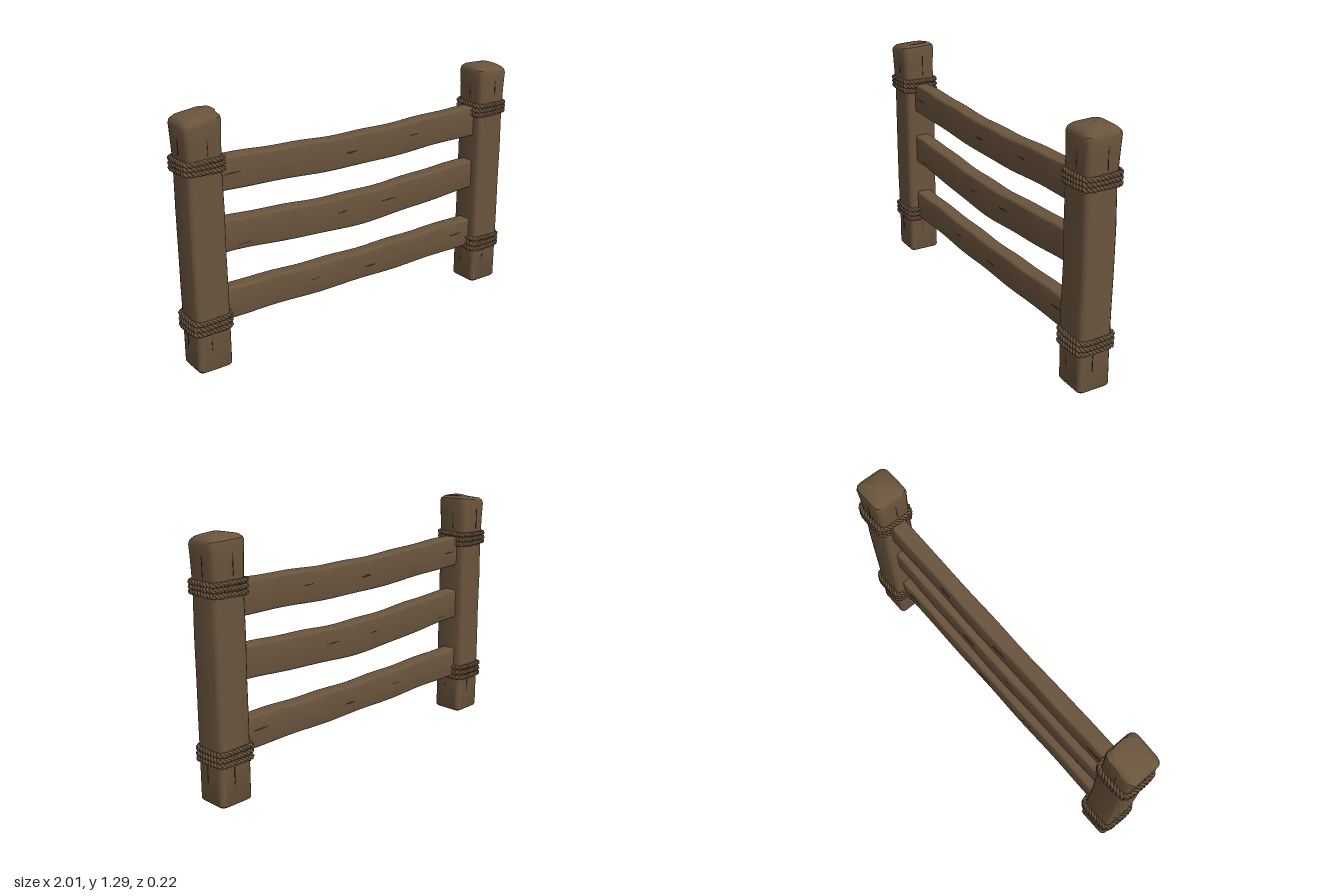
import * as THREE from 'three';
import { toCreasedNormals } from 'three/addons/utils/BufferGeometryUtils.js';

const wood = new THREE.MeshStandardMaterial({ color: 0x6a543d });
wood.name = 'brown wood';
const crackDark = new THREE.MeshStandardMaterial({ color: 0x35291e });
crackDark.name = 'dark crack';

// Rounded rectangle outline as [u, v] pairs, counter-clockwise
function roundRect(hu, hv, r, steps = 3) {
  const pts = [];
  [[1, 1], [-1, 1], [-1, -1], [1, -1]].forEach(([su, sv], q) => {
    for (let k = 0; k <= steps; k++) {
      const a = (q + k / steps) * Math.PI / 2;
      pts.push([su * (hu - r) + r * Math.cos(a), sv * (hv - r) + r * Math.sin(a)]);
    }
  });
  return pts;
}

// Skin a stack of closed rings and cap both ends
function loft(rings, crease = 0.6) {
  const n = rings[0].length, pos = [], index = [];
  rings.forEach(ring => ring.forEach(p => pos.push(p.x, p.y, p.z)));
  for (let i = 0; i < rings.length - 1; i++) {
    for (let j = 0; j < n; j++) {
      const a = i * n + j, b = i * n + (j + 1) % n;
      index.push(a, b, b + n, a, b + n, a + n);
    }
  }
  [0, rings.length - 1].forEach((i, end) => {
    const mid = new THREE.Vector3();
    rings[i].forEach(p => mid.addScaledVector(p, 1 / n));
    const c = pos.length / 3;
    pos.push(mid.x, mid.y, mid.z);
    for (let j = 0; j < n; j++) {
      const a = i * n + j, b = i * n + (j + 1) % n;
      if (end) index.push(c, a, b); else index.push(c, b, a);
    }
  });
  const geo = new THREE.BufferGeometry();
  geo.setAttribute('position', new THREE.Float32BufferAttribute(pos, 3));
  geo.setIndex(index);
  return toCreasedNormals(geo, crease);
}

function add(parent, name, geo, material = wood) {
  const mesh = new THREE.Mesh(geo, material);
  mesh.name = name;
  parent.add(mesh);
  return mesh;
}

// Post: slightly worn shaft, flared head and a lopsided domed top
function postGeometry(tilt, topShift, phase) {
  const levels = [ // y, half width, half depth, corner radius
    [0, 0.086, 0.083, 0.022], [0.008, 0.091, 0.088, 0.024], [0.2, 0.091, 0.088, 0.024],
    [0.4, 0.092, 0.089, 0.026], [0.6, 0.091, 0.087, 0.024], [0.8, 0.092, 0.089, 0.026],
    [1.0, 0.09, 0.087, 0.026], [1.08, 0.091, 0.09, 0.028], [1.16, 0.094, 0.092, 0.03],
    [1.235, 0.098, 0.095, 0.032], [1.252, 0.095, 0.092, 0.034], [1.266, 0.082, 0.078, 0.034],
    [1.275, 0.055, 0.05, 0.026], [1.284, 0.015, 0.012, 0.008],
  ];
  return loft(levels.map(([y, hw, hd, r]) => {
    const head = THREE.MathUtils.smoothstep(y, 1.1, 1.25);
    const wear = 0.0015 * Math.sin(y * 9 + phase);
    const shift = y > 1.27 ? topShift : 0;
    return roundRect(hd, hw, r).map(([z, x]) =>
      new THREE.Vector3(x + wear + shift, y + head * (tilt * x - 0.04 * z), z + 0.003 - wear));
  }));
}

// Rail: plank along x that sags in the middle
function railGeometry({ top, bottom, phase }) {
  const rings = [], count = 40;
  for (let i = 0; i <= count; i++) {
    const x = -0.84 + 1.68 * i / count;
    const sag = 0.5 + 0.5 * Math.cos(Math.PI * x / 0.84);
    const hi = THREE.MathUtils.lerp(top[0], top[1], sag) + 0.0022 * Math.sin(x * 17 + phase);
    const lo = THREE.MathUtils.lerp(bottom[0], bottom[1], sag) + 0.0022 * Math.sin(x * 13 + phase * 2);
    const depth = 0.041 + 0.0012 * Math.sin(x * 11 + phase);
    rings.push(roundRect((hi - lo) / 2, depth, 0.012).map(([y, z]) =>
      new THREE.Vector3(x, (hi + lo) / 2 + y, z)));
  }
  return loft(rings);
}

// One strand of a twisted rope wound round a post
class RopeStrand extends THREE.Curve {
  constructor(phase, wobble) {
    super();
    this.phase = phase;
    this.wobble = wobble;
    this.path = new THREE.CatmullRomCurve3(
      roundRect(0.098, 0.096, 0.035).map(([x, z]) => new THREE.Vector3(x, 0, z)), true, 'centripetal');
  }
  getPoint(t, target = new THREE.Vector3()) {
    const s = t % 1, p = this.path.getPointAt(s), d = this.path.getTangentAt(s);
    const a = s * Math.PI * 2 * 18 + this.phase, r = 0.0065;
    const out = r * Math.cos(a);
    const y = r * Math.sin(a) + 0.004 * Math.sin(s * Math.PI * 2 + this.wobble);
    return target.set(p.x + d.z * out, y, p.z - d.x * out);
  }
}

function ropeBinding(name, heights, wobble) {
  const group = new THREE.Group();
  group.name = name;
  heights.forEach((y, i) => {
    for (let k = 0; k < 2; k++) {
      const strand = new RopeStrand(k * Math.PI, wobble + i * 0.8);
      add(group, 'ropeStrand', new THREE.TubeGeometry(strand, 180, 0.0078, 5, true)).position.y = y;
    }
  });
  return group;
}

// Thin pointed split in the wood, lying in the xy plane
function crackGeometry(length, width) {
  const shape = new THREE.Shape([
    new THREE.Vector2(-length / 2, 0), new THREE.Vector2(-length * 0.1, -width / 2),
    new THREE.Vector2(length / 2, width * 0.1), new THREE.Vector2(length * 0.1, width / 2)]);
  return new THREE.ExtrudeGeometry(shape, { depth: 0.002, bevelEnabled: false });
}

export function createModel() {
  const model = new THREE.Group();
  model.name = 'fence';

  // Posts with their rope bindings and vertical splits
  [['rightPost', -0.893, 0.14, 0.035, 0], ['leftPost', 0.888, -0.04, 0.01, 2]].forEach(
    ([name, x, tilt, shift, phase]) => {
      const group = new THREE.Group();
      group.name = name;
      group.position.x = x;
      add(group, 'post', postGeometry(tilt, shift, phase));
      group.add(ropeBinding('upperRope', [1.012, 1.037, 1.062], phase));
      group.add(ropeBinding('lowerRope', [0.212, 0.24, 0.27], phase + 1));
      for (let side = 0; side < 4; side++) {
        const turn = new THREE.Group();
        turn.name = 'splits';
        turn.rotation.y = side * Math.PI / 2;
        [[0.01, 1.15, 0.12, 0.0945], [-0.02, 0.15, 0.09, 0.0905]].forEach(([u, y, len, out]) => {
          const crack = add(turn, 'split', crackGeometry(len, 0.004), crackDark);
          crack.position.set(u, y, out);
          crack.rotation.z = Math.PI / 2;
        });
        group.add(turn);
      }
      model.add(group);
    });

  // Rails: edge heights given at the posts and at mid-span
  const rails = [
    { name: 'topRail', top: [1.048, 1.026], bottom: [0.884, 0.861], phase: 0.5,
      cracks: [[-0.04, 0.94, 0.08, 0.012], [0.37, 0.962, 0.07, 0.005], [-0.73, 0.965, 0.09, 0.006]] },
    { name: 'middleRail', top: [0.736, 0.705], bottom: [0.573, 0.531], phase: 2.1,
      cracks: [[-0.1, 0.628, 0.07, 0.009], [0.2, 0.632, 0.09, 0.005], [-0.68, 0.6, 0.08, 0.005]] },
    { name: 'bottomRail', top: [0.384, 0.371], bottom: [0.221, 0.214], phase: 4,
      cracks: [[0.08, 0.278, 0.08, 0.006], [-0.28, 0.3, 0.06, 0.005], [0.7, 0.31, 0.09, 0.006]] },
  ];
  rails.forEach(rail => {
    const group = new THREE.Group();
    group.name = rail.name;
    add(group, 'plank', railGeometry(rail));
    rail.cracks.forEach(([x, y, len, width]) => {
      [0, Math.PI].forEach(turn => {
        const crack = add(group, 'crack', crackGeometry(len, width), crackDark);
        crack.position.set(x, y, turn ? -0.0405 : 0.0405);
        crack.rotation.y = turn;
      });
    });
    model.add(group);
  });

  return model;
}
